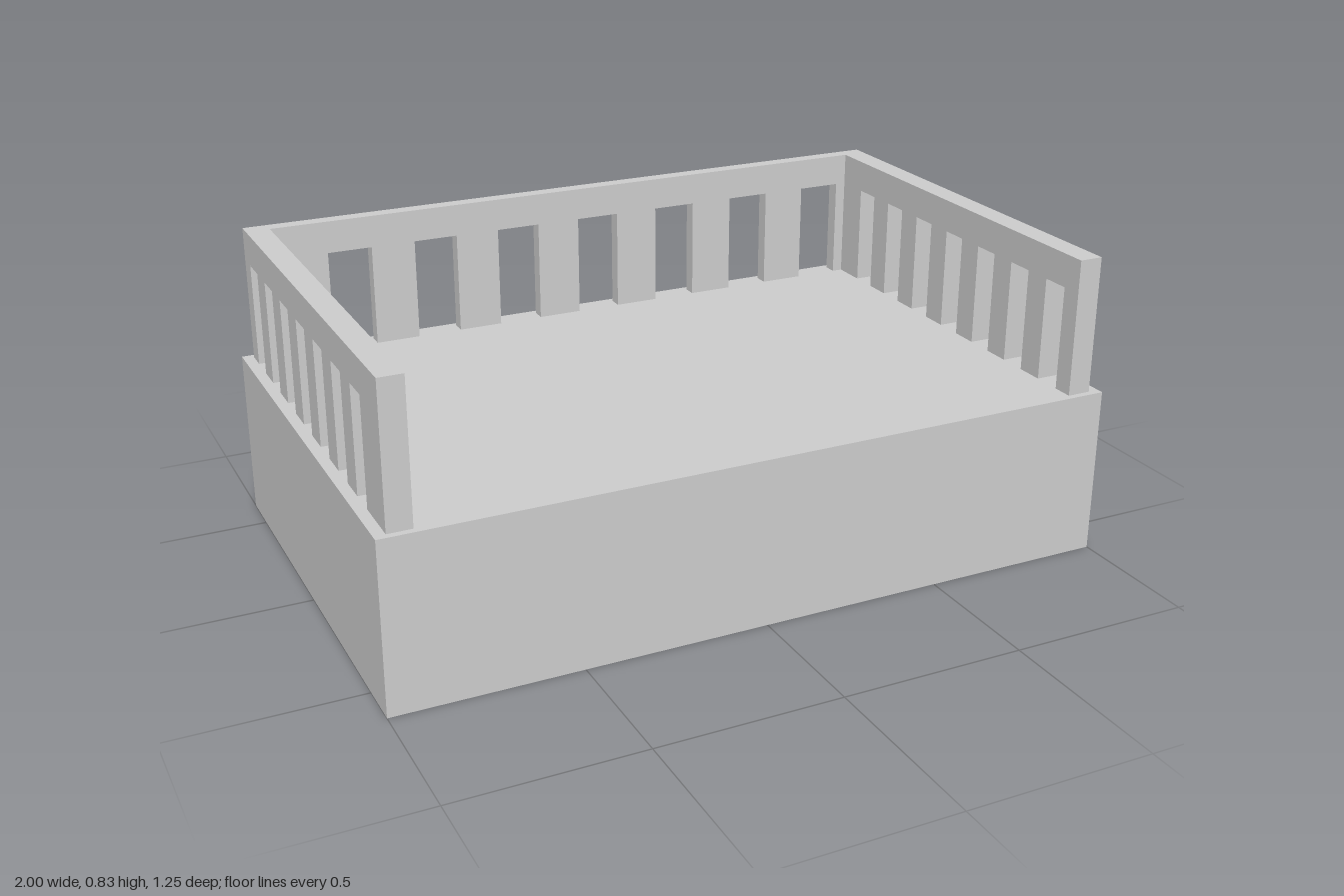
import * as THREE from 'three';

const FLOOR = 0.46, TOP = 0.835, LINTEL = 0.745;

// Upright wall along local x, with evenly spaced openings rising from the floor
function openWall(name, halfLength, thickness, firstOpening, openingWidth, material) {
  const shape = new THREE.Shape();
  shape.moveTo(-halfLength, FLOOR);
  for (let i = 0; i < 7; i++) {
    const a = firstOpening + i * openingWidth * 2;
    const b = a + openingWidth;
    shape.lineTo(a, FLOOR);
    shape.lineTo(a, LINTEL);
    shape.lineTo(b, LINTEL);
    shape.lineTo(b, FLOOR);
  }
  shape.lineTo(halfLength, FLOOR);
  shape.lineTo(halfLength, TOP);
  shape.lineTo(-halfLength, TOP);
  const geometry = new THREE.ExtrudeGeometry(shape, { depth: thickness, bevelEnabled: false });
  const mesh = new THREE.Mesh(geometry, material);
  mesh.name = name;
  return mesh;
}

export function createModel() {
  const group = new THREE.Group();
  group.name = 'balcony';
  const material = new THREE.MeshStandardMaterial({ color: 0xcccccc, flatShading: true });

  // Solid base block
  const base = new THREE.Mesh(new THREE.BoxGeometry(2, FLOOR, 1.246), material);
  base.name = 'base';
  base.position.y = FLOOR / 2;
  group.add(base);

  // Back wall, fitted between the side walls
  const back = openWall('backWall', 0.905, 0.04, -0.75, 0.125, material);
  back.position.z = -0.605;
  group.add(back);

  // Side walls, the second turned half round so the openings alternate
  for (const side of [1, -1]) {
    const wall = openWall(side > 0 ? 'leftWall' : 'rightWall', 0.605, 0.065, -0.548, 0.078, material);
    wall.rotation.y = side * Math.PI / 2;
    wall.position.x = side * 0.905;
    group.add(wall);
  }
  return group;
}
